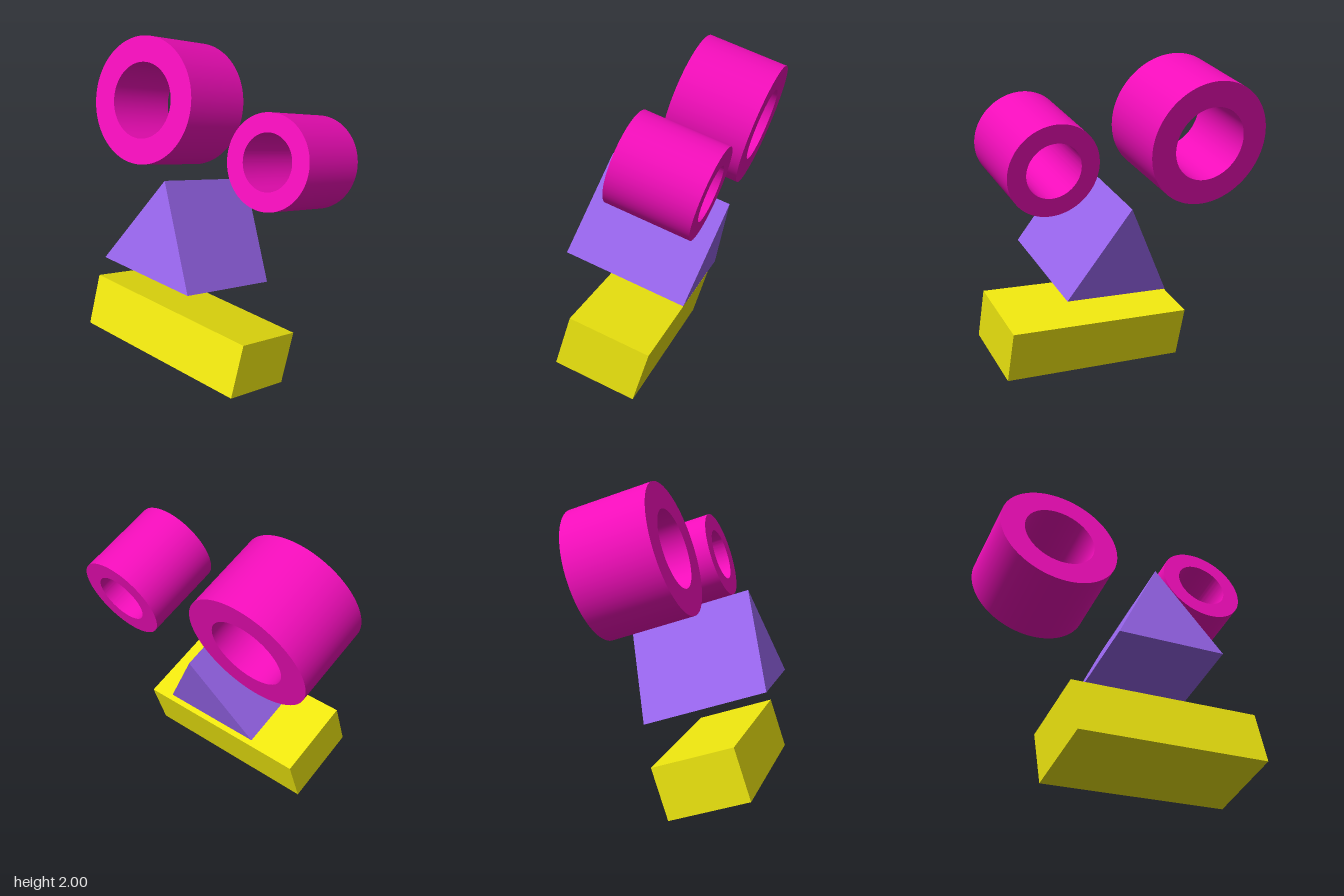
import * as THREE from 'three';
import { toCreasedNormals } from 'three/addons/utils/BufferGeometryUtils.js';

const TILT = -0.318; // the whole arrangement leans back

const material = (color) => new THREE.MeshStandardMaterial({ color });

// Extrude a shape from z = back to z = front
function extrudePart(name, shape, back, front, mat) {
  const geo = new THREE.ExtrudeGeometry(shape, {
    depth: front - back, bevelEnabled: false, curveSegments: 64,
  });
  geo.translate(0, 0, back);
  const mesh = new THREE.Mesh(toCreasedNormals(geo, 0.5), mat);
  mesh.name = name;
  return mesh;
}

function ringShape(x, y, outer, inner) {
  const shape = new THREE.Shape().absarc(x, y, outer, 0, Math.PI * 2, false);
  shape.holes.push(new THREE.Path().absarc(x, y, inner, 0, Math.PI * 2, true));
  return shape;
}

const polygon = (points) => new THREE.Shape(points.map(([x, y]) => new THREE.Vector2(x, y)));

export function createModel() {
  const model = new THREE.Group();
  model.name = 'blockFace';
  const tilted = new THREE.Group();
  tilted.name = 'tiltedBlocks';
  tilted.rotation.x = TILT;
  model.add(tilted);

  const magenta = material(0xf20dba);
  const purple = material(0x9966ee);
  const yellow = material(0xf0e80f);

  // Two thick tubes of different size, resting on one level
  tilted.add(extrudePart('largeTube', ringShape(-0.455, 1.521, 0.403, 0.24), 0.033, 0.561, magenta));
  tilted.add(extrudePart('smallTube', ringShape(0.57, 1.402, 0.284, 0.17), 0.033, 0.561, magenta));

  // Triangular prism in the middle
  const triangle = polygon([[-0.297, 0.553], [0.39, 0.553], [0.047, 1.146]]);
  tilted.add(extrudePart('prism', triangle, -0.017, 0.785, purple));

  // Long bar at the bottom
  const bar = polygon([[-0.525, -0.009], [0.695, -0.009], [0.695, 0.329], [-0.525, 0.329]]);
  tilted.add(extrudePart('bar', bar, 0.031, 0.559, yellow));

  return model;
}
